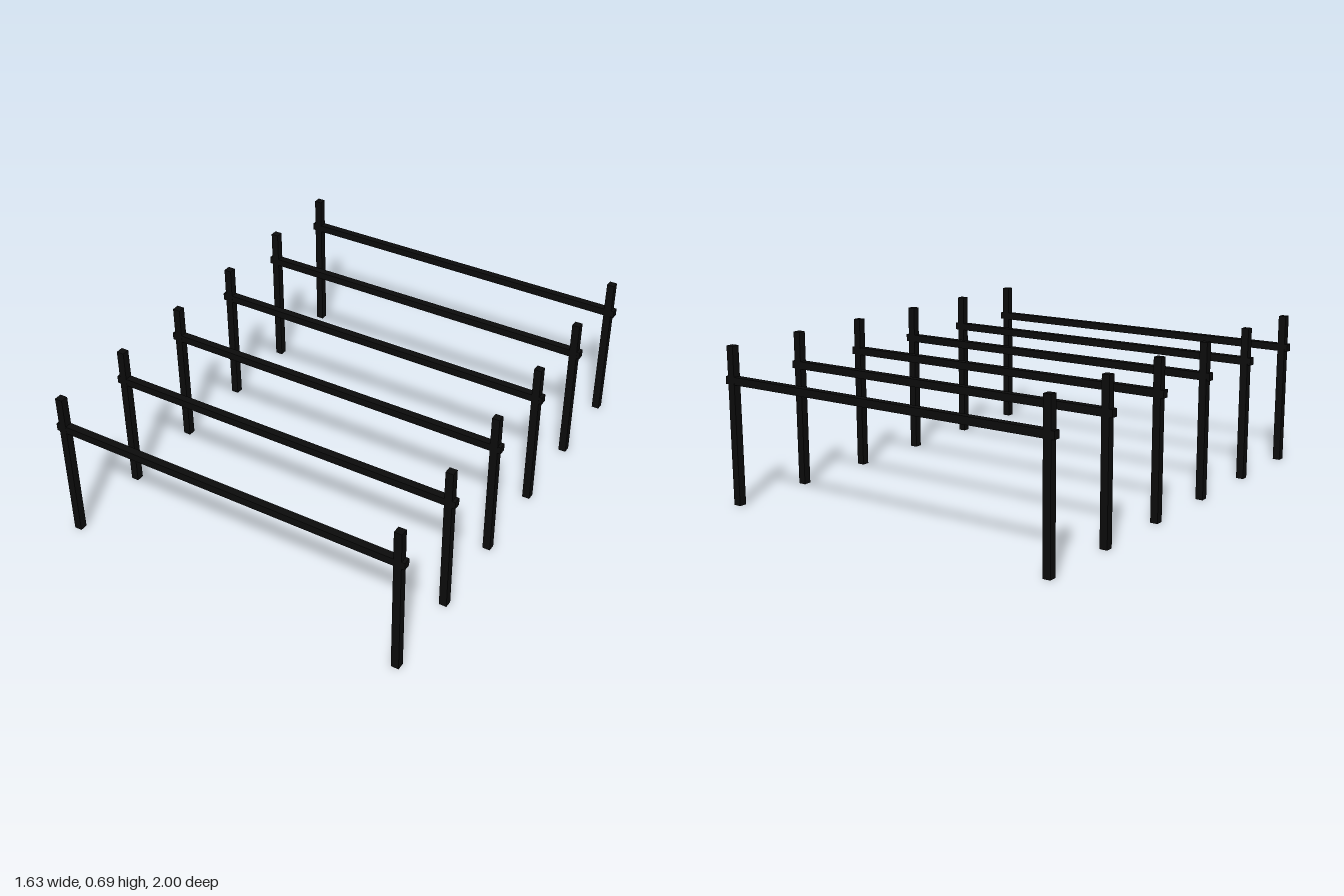
import * as THREE from 'three';

const HEIGHT = 0.686, THICK = 0.034, POST_X = 0.784, BAR_Y = 0.539, BAR_LENGTH = 1.63;
const COUNT = 6, END_Z = 0.983;

export function createModel() {
  const model = new THREE.Group();
  model.name = 'hurdleRow';
  const black = new THREE.MeshStandardMaterial({ color: 0x0b0b0b });
  const postGeometry = new THREE.BoxGeometry(THICK, HEIGHT, THICK);
  // A hair slimmer than the posts, so no faces coincide
  const barGeometry = new THREE.BoxGeometry(BAR_LENGTH, 0.033, 0.033);

  const addPart = (parent, name, geometry, x, y) => {
    const mesh = new THREE.Mesh(geometry, black);
    mesh.name = name;
    mesh.position.set(x, y, 0);
    parent.add(mesh);
  };

  // Evenly spaced hurdles from back to front
  for (let i = 0; i < COUNT; i++) {
    const hurdle = new THREE.Group();
    hurdle.name = `hurdle${i + 1}`;
    hurdle.position.z = -END_Z + (2 * END_Z * i) / (COUNT - 1);
    addPart(hurdle, 'leftPost', postGeometry, POST_X, HEIGHT / 2);
    addPart(hurdle, 'rightPost', postGeometry, -POST_X, HEIGHT / 2);
    addPart(hurdle, 'crossbar', barGeometry, 0, BAR_Y);
    model.add(hurdle);
  }
  return model;
}
